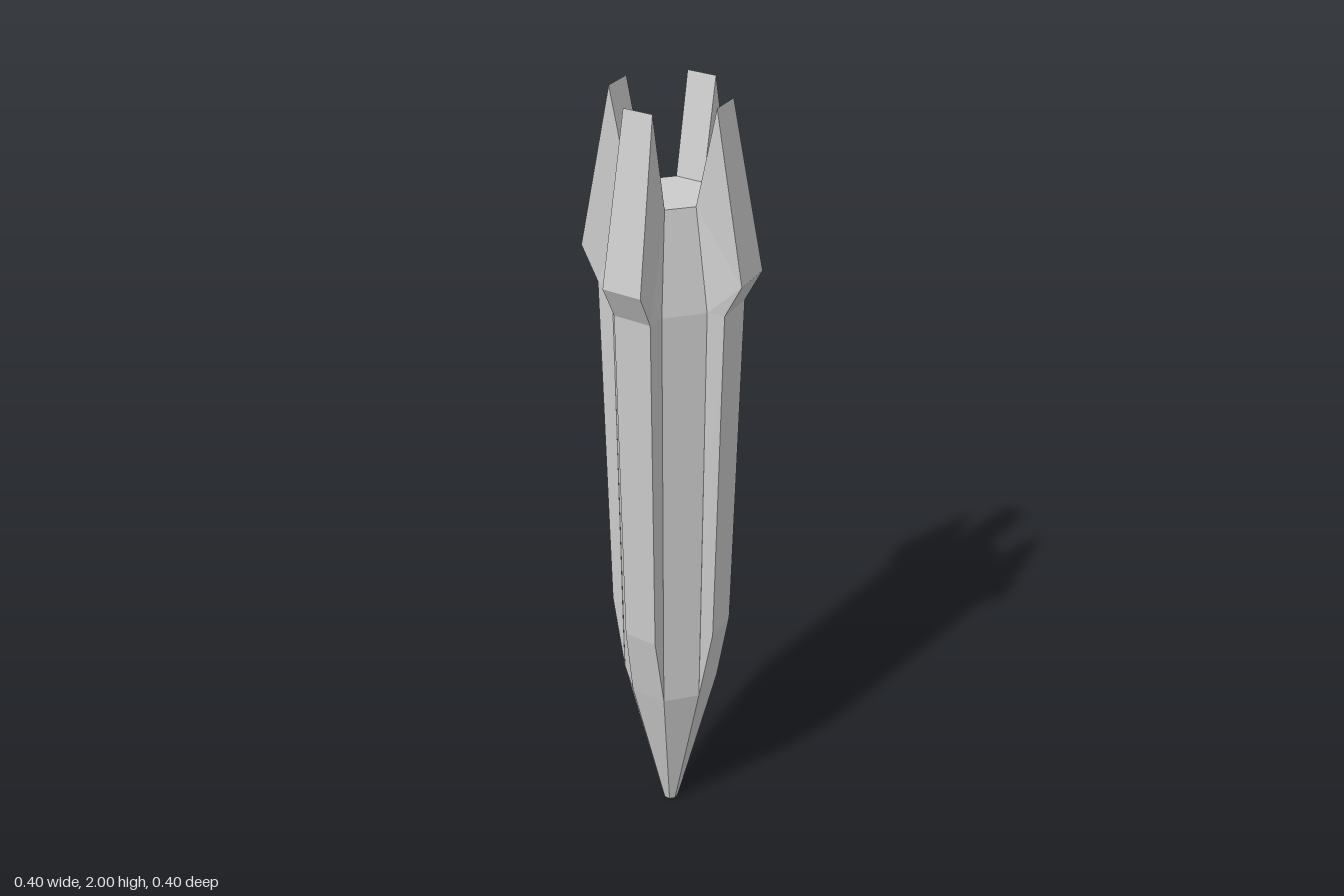
import * as THREE from 'three';

const material = new THREE.MeshStandardMaterial({ color: 0xcccccc, flatShading: true });

// Tapered octagonal body, closed at both ends: [radius, y]
function makeBody() {
  const profile = [[0, 0], [0.02, 0], [0.12, 0.45], [0.13, 1.55], [0.088, 1.78], [0, 1.78]];
  return new THREE.LatheGeometry(profile.map(([r, y]) => new THREE.Vector2(r, y)), 8);
}

// Fin pointing along +z, skinned through four-cornered sections
// Each row: inner [half width, y, distance], outer [half width, y, distance]
function makeFin() {
  const rows = [
    [[0.046, 0.45, 0.111], [0.046, 0.45, 0.111]],
    [[0.0467, 0.66, 0.113], [0.042, 0.66, 0.145]],
    [[0.0497, 1.55, 0.12], [0.045, 1.55, 0.16]],
    [[0.0337, 1.78, 0.081], [0.046, 1.63, 0.2]],
    [[0.034, 2, 0.127], [0.034, 2, 0.127]],
  ];
  const positions = [];
  for (const [[wi, yi, zi], [wo, yo, zo]] of rows) {
    positions.push(-wi, yi, zi, -wo, yo, zo, wo, yo, zo, wi, yi, zi);
  }
  const index = [];
  for (let i = 0; i < rows.length - 1; i++) {
    for (let j = 0; j < 4; j++) {
      // the inner side is only exposed above the body
      if (j === 3 && i < rows.length - 2) continue;
      const a = i * 4 + j, b = i * 4 + (j + 1) % 4;
      // collapsed sections need just one triangle on the sides
      const isSide = j % 2 === 0;
      if (!(isSide && i === 0)) index.push(a, b, b + 4);
      if (!(isSide && i === rows.length - 2)) index.push(a, b + 4, a + 4);
      if (isSide && i === 0) continue;
    }
  }
  const geometry = new THREE.BufferGeometry();
  geometry.setAttribute('position', new THREE.Float32BufferAttribute(positions, 3));
  geometry.setIndex(index);
  const flat = geometry.toNonIndexed();
  flat.computeVertexNormals();
  return flat;
}

export function createModel() {
  const model = new THREE.Group();
  model.name = 'finnedSpike';

  const body = new THREE.Mesh(makeBody(), material);
  body.name = 'body';
  model.add(body);

  // Four fins on alternate faces of the body
  const finGeometry = makeFin();
  for (let i = 0; i < 4; i++) {
    const fin = new THREE.Mesh(finGeometry, material);
    fin.name = `fin${i + 1}`;
    fin.rotation.y = Math.PI / 8 + i * Math.PI / 2;
    model.add(fin);
  }
  return model;
}
